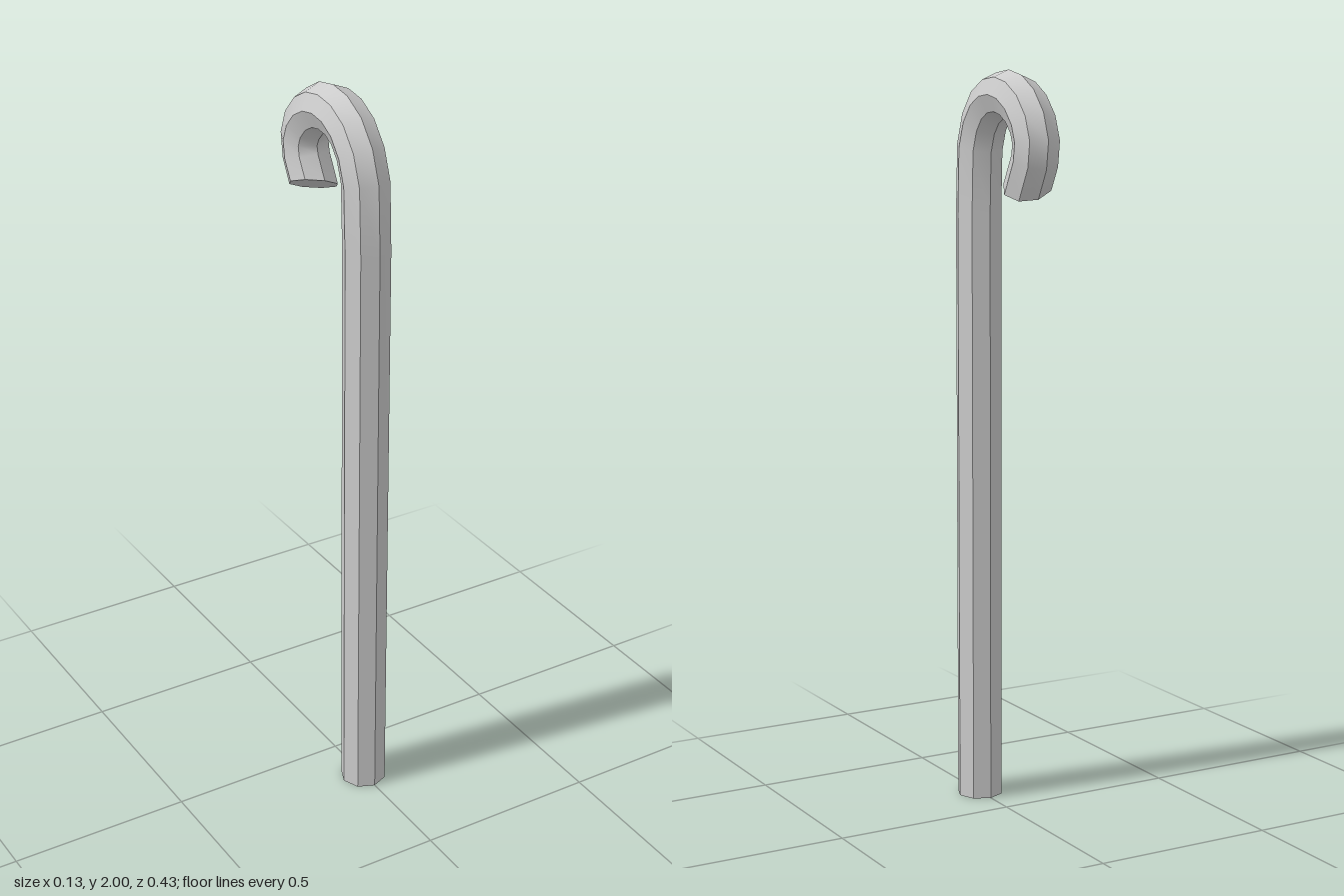
import * as THREE from 'three';

const SIDES = 8, RADIUS = 0.063;

// Centre line of the cane as [z, y]
const PATH = [
  [0.151, 0], [0.151, 1.62], [0.144, 1.795], [0.12, 1.862], [0.082, 1.908],
  [0.037, 1.932], [-0.01, 1.938], [-0.056, 1.929], [-0.1, 1.904],
  [-0.135, 1.865], [-0.152, 1.82], [-0.145, 1.772], [-0.108, 1.703],
].map(([z, y]) => new THREE.Vector3(0, y, z));

// Octagonal ring square to the path; the tip is cut slightly askew
function ring(i) {
  const last = PATH.length - 1;
  const dir = (a, b) => PATH[b].clone().sub(PATH[a]).normalize();
  const t = new THREE.Vector3();
  if (i > 0) t.add(dir(i - 1, i));
  if (i < last) t.add(dir(i, i + 1));
  if (i === last) t.set(0, -0.89, 0.45);
  t.normalize();
  const n = new THREE.Vector3(0, -t.z, t.y);
  return Array.from({ length: SIDES }, (_, k) => {
    const a = (k / SIDES) * Math.PI * 2;
    const p = PATH[i].clone().addScaledVector(n, RADIUS * Math.sin(a));
    p.x = RADIUS * Math.cos(a);
    if (i === last) p.addScaledVector(t, 0.32 * p.x);
    return p;
  });
}

function toGeometry(points, index) {
  const g = new THREE.BufferGeometry().setFromPoints(points);
  g.setIndex(index);
  g.computeVertexNormals();
  return g;
}

// One strip per side: smooth along the length, sharp between sides
function tubeGeometry(rings) {
  const points = [], index = [];
  for (let k = 0; k < SIDES; k++) {
    rings.forEach((r, j) => {
      const a = points.length;
      points.push(r[k], r[(k + 1) % SIDES]);
      if (j < rings.length - 1) index.push(a, a + 2, a + 3, a, a + 3, a + 1);
    });
  }
  return toGeometry(points, index);
}

function capGeometry(points) {
  const index = [];
  for (let k = 1; k < SIDES - 1; k++) index.push(0, k, k + 1);
  return toGeometry(points, index);
}

export function createModel() {
  const group = new THREE.Group();
  group.name = 'cane';
  const material = new THREE.MeshStandardMaterial({ color: 0xcccccc });
  const add = (name, geometry) => {
    const mesh = new THREE.Mesh(geometry, material);
    mesh.name = name;
    group.add(mesh);
  };

  const rings = PATH.map((_, i) => ring(i));
  add('shaftAndHook', tubeGeometry(rings));
  add('footCap', capGeometry(rings[0]));
  add('hookTip', capGeometry([...rings[rings.length - 1]].reverse()));
  return group;
}
